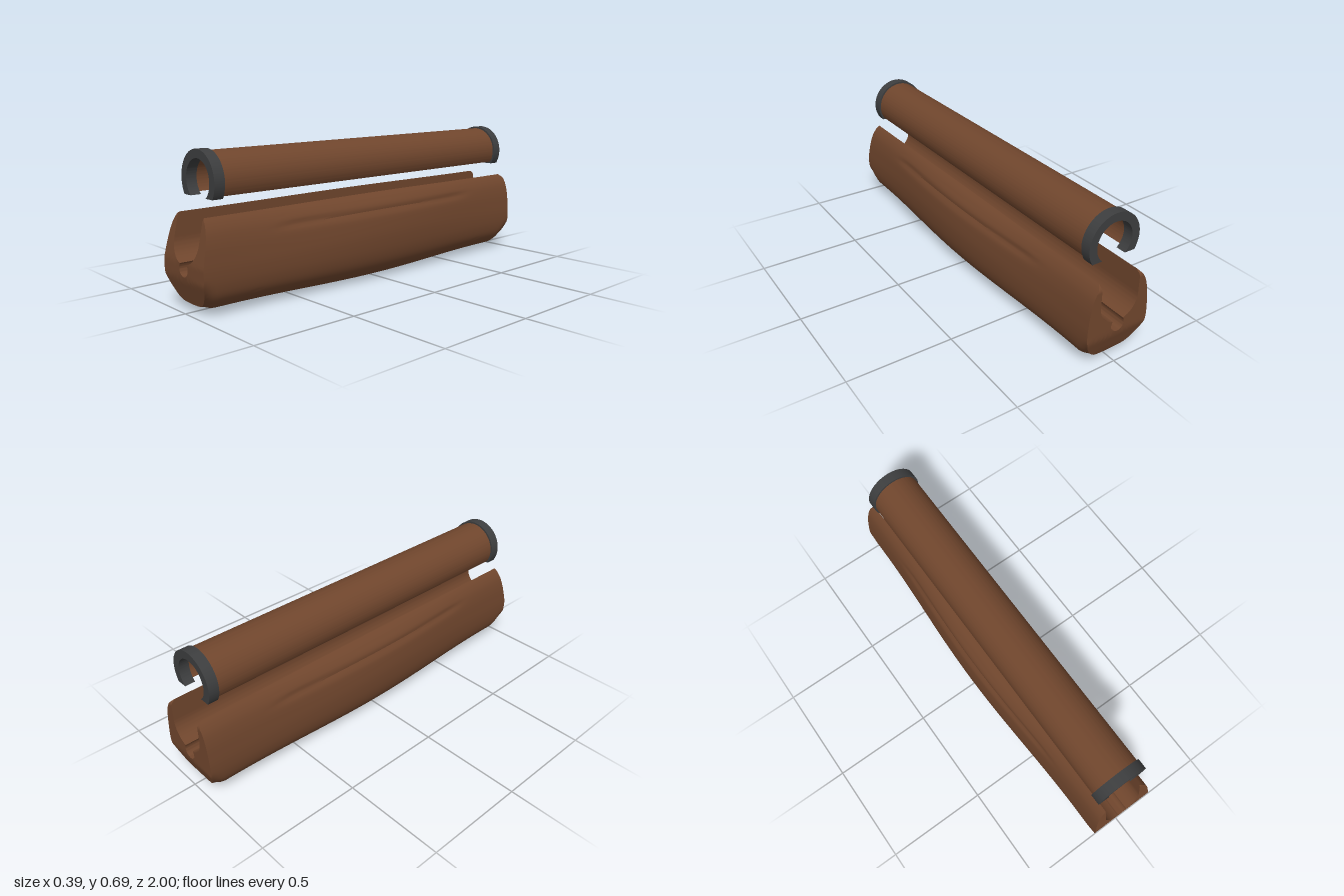
import * as THREE from 'three';
import { mergeGeometries, toCreasedNormals } from 'three/addons/utils/BufferGeometryUtils.js';
import { ParametricGeometry } from 'three/addons/geometries/ParametricGeometry.js';

const HALF = 48; // steps on one side of the cross-section
const ROWS = 48; // steps along the length
const { lerp, smoothstep } = THREE.MathUtils;

const spline = (pts) =>
  new THREE.SplineCurve(pts.map(([x, y]) => new THREE.Vector2(x, y))).getSpacedPoints(HALF);

// Outer half sections, from the top rim down to the keel
const middle = spline([[0.1, 0.424], [0.13, 0.41], [0.16, 0.377], [0.18, 0.335], [0.19, 0.29], [0.196, 0.22],
  [0.19, 0.14], [0.17, 0.08], [0.13, 0.033], [0.08, 0.01], [0, 0.003]]);
const end = spline([[0.1, 0.42], [0.118, 0.4], [0.137, 0.365], [0.15, 0.315], [0.157, 0.26], [0.161, 0.2],
  [0.158, 0.14], [0.145, 0.09], [0.115, 0.05], [0.075, 0.028], [0, 0.022]]);

// Half section of the barrel channel: straight wall, round bed, small rod groove
const channel = [];
for (let i = 0; i < 12; i++) channel.push(new THREE.Vector2(0.1, lerp(0.424, 0.313, i / 12)));
for (let i = 0; i < 20; i++) {
  const a = lerp(0, -1.297, i / 20);
  channel.push(new THREE.Vector2(0.1 * Math.cos(a), 0.313 + 0.1 * Math.sin(a)));
}
for (let i = 0; i <= 16; i++) {
  const a = lerp(0.66, -Math.PI / 2, i / 16);
  channel.push(new THREE.Vector2(0.0345 * Math.cos(a), 0.196 + 0.0345 * Math.sin(a)));
}

// Length of each end at a given height
const FRONT = [[0, 0.95], [0.04, 0.965], [0.15, 1], [0.22, 1], [0.41, 0.96], [0.43, 0.945]];
const BACK = [[0, 0.94], [0.05, 0.965], [0.15, 1], [0.4, 1], [0.43, 0.965]];
function reach(table, y) {
  for (let i = 1; i < table.length; i++) {
    const [y0, z0] = table[i - 1], [y1, z1] = table[i];
    if (y <= y1) return lerp(z0, z1, (y - y0) / (y1 - y0));
  }
  return table[table.length - 1][1];
}
const place = (x, y, s, out) => out.set(x, y, s * reach(s > 0 ? FRONT : BACK, y));

// Point of the outer skin; k runs across the section, s from -1 (back) to 1 (front)
function outerPoint(k, s, out) {
  const i = k > HALF ? 2 * HALF - k : k;
  const side = k > HALF ? -1 : 1;
  const a = Math.abs(s);
  const t = (1 - Math.cos(Math.PI * Math.min(a / 0.9, 1))) / 2;
  let x = lerp(middle[i].x, end[i].x, t);
  let y = lerp(middle[i].y, end[i].y, t);
  // shallow finger groove along each side
  x -= 0.009 * Math.exp(-(((y - 0.347) / 0.013) ** 2)) * (1 - smoothstep(a, 0.52, 0.68));
  // rounded lower edge at the ends
  const e = smoothstep(a, 0.95, 1);
  x *= 1 - 0.1 * e * (1 - smoothstep(y, 0.06, 0.17));
  y += 0.016 * e * Math.max(0, 1 - y / 0.25);
  return place(x * side, y, s, out);
}

function innerPoint(k, s, out) {
  const p = channel[k > HALF ? 2 * HALF - k : k];
  if (k === 0 || k === 2 * HALF) return outerPoint(k, s, out);
  return place(k > HALF ? -p.x : p.x, p.y, s, out);
}

function lowerGuardGeometry() {
  const across = (u) => Math.round(u * 2 * HALF);
  const along = (v) => Math.sin((v - 0.5) * Math.PI);
  const a = new THREE.Vector3(), b = new THREE.Vector3();
  const cap = (s, u, v, out) => {
    outerPoint(across(u), s, a);
    innerPoint(across(u), s, b);
    out.lerpVectors(a, b, v);
    place(out.x, out.y, s, out);
  };
  const patches = [
    new ParametricGeometry((u, v, o) => { outerPoint(across(u), along(1 - v), o); }, 2 * HALF, ROWS),
    new ParametricGeometry((u, v, o) => { innerPoint(across(u), along(v), o); }, 2 * HALF, ROWS),
    new ParametricGeometry((u, v, o) => cap(1, u, 1 - v, o), 2 * HALF, 6),
    new ParametricGeometry((u, v, o) => cap(-1, u, v, o), 2 * HALF, 6),
  ];
  return toCreasedNormals(mergeGeometries(patches), 0.6);
}

// Round sleeve with a flat-cut opening underneath
function openSleeve(outer, inner, cutY, z0, z1) {
  const cy = 0.56;
  const angle = (r) => Math.asin((cutY - cy) / r);
  const shape = new THREE.Shape();
  shape.absarc(0, cy, outer, angle(outer), Math.PI - angle(outer), false);
  shape.absarc(0, cy, inner, Math.PI - angle(inner), angle(inner), true);
  const geo = new THREE.ExtrudeGeometry(shape, { depth: z1 - z0, bevelEnabled: false, curveSegments: 56 });
  geo.translate(0, 0, z0);
  return toCreasedNormals(geo, 0.6);
}

export function createModel() {
  const wood = new THREE.MeshStandardMaterial({ color: 0x70462d });
  wood.name = 'brown wood';
  const metal = new THREE.MeshStandardMaterial({ color: 0x3d3e3f });
  metal.name = 'dark metal';

  const model = new THREE.Group();
  model.name = 'handguard';
  const add = (name, geometry, material) => {
    const mesh = new THREE.Mesh(geometry, material);
    mesh.name = name;
    model.add(mesh);
  };

  add('lowerGuard', lowerGuardGeometry(), wood);
  add('upperGuard', openSleeve(0.122, 0.1, 0.5, -0.895, 0.87), wood);
  add('frontRing', openSleeve(0.131, 0.092, 0.49, 0.868, 0.918), metal);
  add('backRing', openSleeve(0.131, 0.092, 0.49, -0.942, -0.893), metal);
  return model;
}
